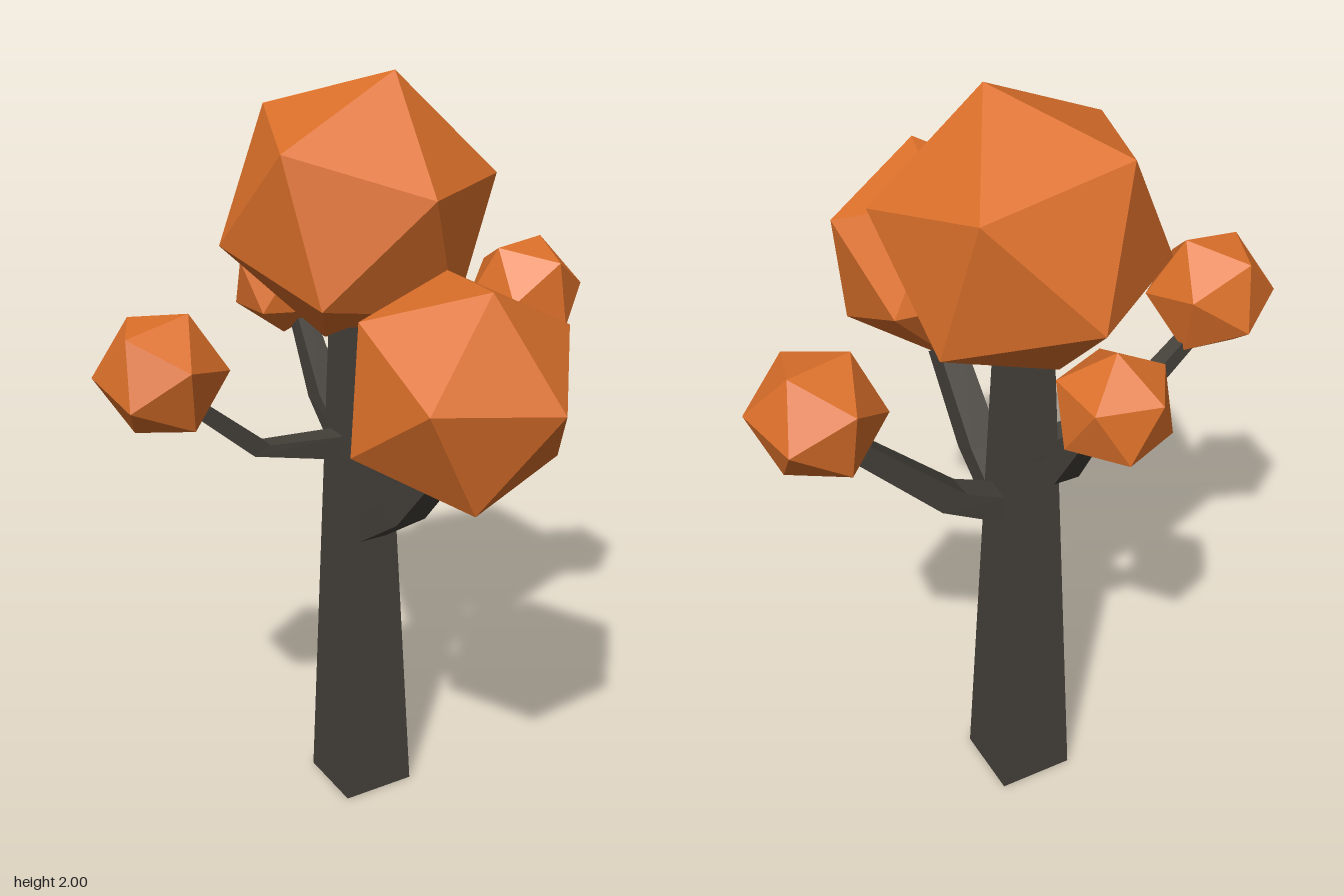
import * as THREE from 'three';

const bark = new THREE.MeshStandardMaterial({ color: 0x45413b, flatShading: true });
const leaf = new THREE.MeshStandardMaterial({ color: 0xdc702a, flatShading: true });
const TRUNK_Z = -0.157;

// Tapered square trunk
function makeTrunk() {
  const h = 1.4, base = 0.102, top = 0.052;
  const geo = new THREE.BoxGeometry(1, h, 1);
  const p = geo.attributes.position;
  for (let i = 0; i < p.count; i++) {
    const s = 2 * (p.getY(i) > 0 ? top : base);
    p.setX(i, p.getX(i) * s);
    p.setZ(i, p.getZ(i) * s);
  }
  geo.computeVertexNormals();
  const mesh = new THREE.Mesh(geo, bark);
  mesh.position.set(0, h / 2, TRUNK_Z);
  mesh.name = 'trunk';
  return mesh;
}

// Bent square branch: three sections of [distance out, height, half width]
function makeBranch(name, angle, sections) {
  const tilts = [0, 65, 55].map(THREE.MathUtils.degToRad);
  const geo = new THREE.BoxGeometry(1, 1, 1, 1, 1, 2);
  const p = geo.attributes.position;
  for (let i = 0; i < p.count; i++) {
    const k = Math.round((p.getZ(i) + 0.5) * 2);
    const [out, y, half] = sections[k];
    const v = p.getY(i) * 2 * half;
    p.setXYZ(i, p.getX(i) * 2 * half, y + v * Math.cos(tilts[k]), out - v * Math.sin(tilts[k]));
  }
  geo.computeVertexNormals();
  const mesh = new THREE.Mesh(geo, bark);
  mesh.position.z = TRUNK_Z;
  mesh.rotation.y = angle;
  mesh.name = name;
  return mesh;
}

// Orthonormal frame from a corner direction and a neighbouring corner direction
function frame(a, b) {
  const y = new THREE.Vector3(...a).normalize();
  const z = new THREE.Vector3(...a).cross(new THREE.Vector3(...b)).normalize();
  return new THREE.Matrix4().makeBasis(y.clone().cross(z), y, z);
}

// Icosahedron turned so that two adjacent corners point along the given directions
function makeFoliage(name, center, radius, corner, neighbour) {
  const t = (1 + Math.sqrt(5)) / 2;
  const turn = frame(corner, neighbour).multiply(frame([-1, t, 0], [1, t, 0]).transpose());
  const geo = new THREE.IcosahedronGeometry(radius, 0).applyMatrix4(turn);
  const mesh = new THREE.Mesh(geo, leaf);
  mesh.position.set(...center);
  mesh.name = name;
  return mesh;
}

export function createModel() {
  const tree = new THREE.Group();
  tree.name = 'tree';
  tree.add(
    makeTrunk(),
    makeBranch('frontBranch', 0, [[0.07, 0.82, 0.04], [0.228, 0.93, 0.042], [0.41, 1.13, 0.037]]),
    makeBranch('leftBranch', Math.PI / 2, [[0.06, 0.915, 0.04], [0.206, 0.988, 0.037], [0.48, 1.25, 0.025]]),
    makeBranch('rightBranch', -Math.PI / 2, [[0.06, 1.043, 0.033], [0.29, 1.083, 0.025], [0.47, 1.24, 0.02]]),
    makeBranch('backBranch', Math.PI, [[0.06, 1.025, 0.04], [0.18, 1.115, 0.034], [0.31, 1.31, 0.025]]),
    makeFoliage('topFoliage', [0.008, 1.657, -0.16], 0.355, [0.062, 0.34, 0.07], [0.012, 0.09, 0.34]),
    makeFoliage('frontFoliage', [-0.025, 1.357, 0.362], 0.296, [-0.005, 0.262, 0.122], [0.085, 0.02, 0.275]),
    makeFoliage('leftFoliage', [0.537, 1.353, -0.182], 0.162, [0.075, 0.135, -0.04], [-0.0875, 0.135, 0]),
    makeFoliage('rightFoliage', [-0.55, 1.34, -0.13], 0.163, [0.065, 0.145, 0.027], [-0.108, 0.12, 0.05]),
    makeFoliage('backFoliage', [-0.027, 1.388, -0.513], 0.145, [0.006, 0.14, -0.008], [-0.04, 0.063, -0.119]),
  );
  return tree;
}
